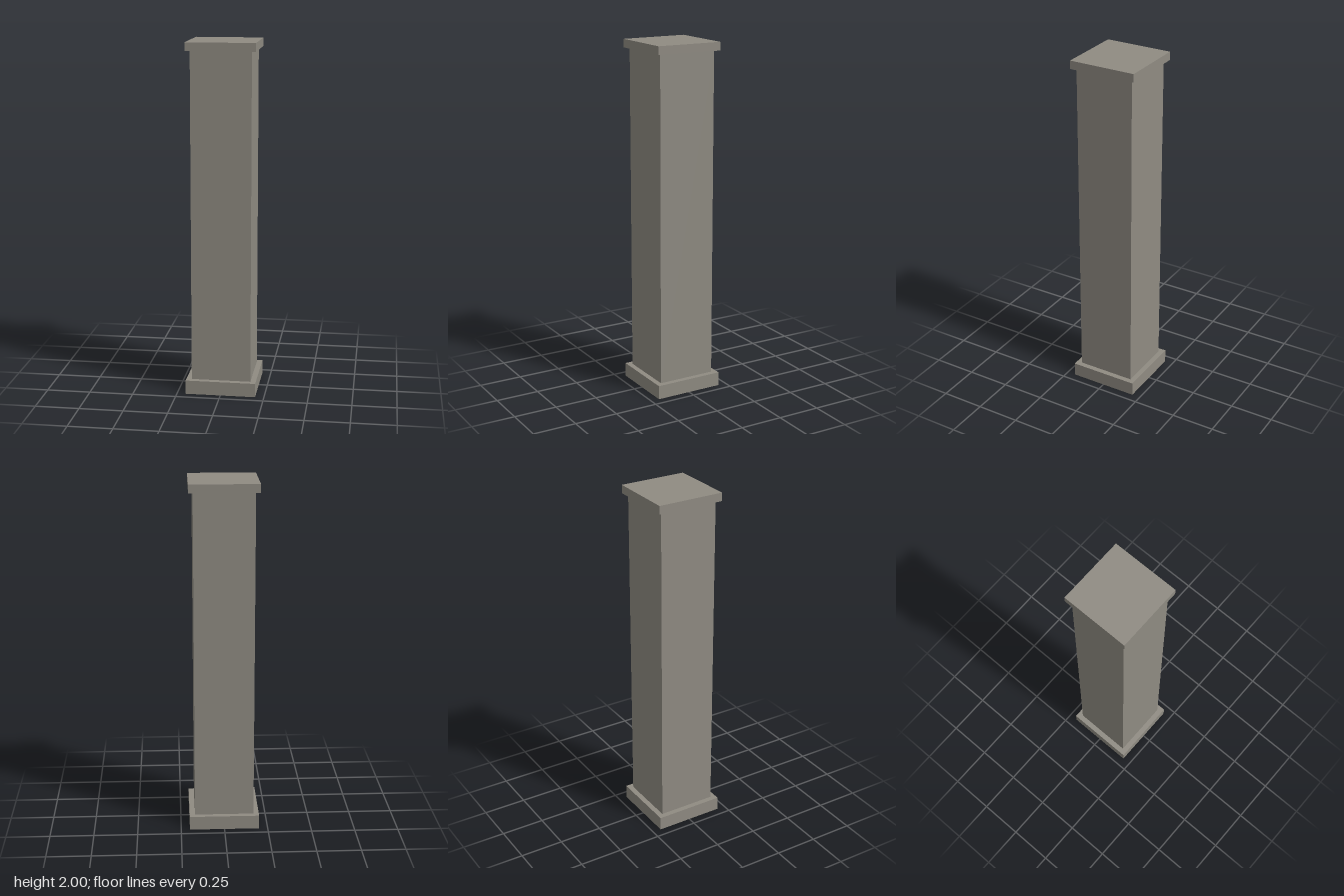
import * as THREE from 'three';

export function createModel() {
  const model = new THREE.Group();
  model.name = 'pillar';
  const stone = new THREE.MeshStandardMaterial({ color: 0x8f8b82 });
  stone.name = 'warm grey stone';

  // Square block of the given width, spanning bottom to top
  const addBlock = (name, width, bottom, top) => {
    const block = new THREE.Mesh(new THREE.BoxGeometry(width, top - bottom, width), stone);
    block.name = name;
    block.position.y = (bottom + top) / 2;
    model.add(block);
  };

  addBlock('base', 0.4, 0, 0.08);
  addBlock('shaft', 0.338, 0.08, 1.953);
  addBlock('cap', 0.386, 1.953, 2);

  return model;
}
